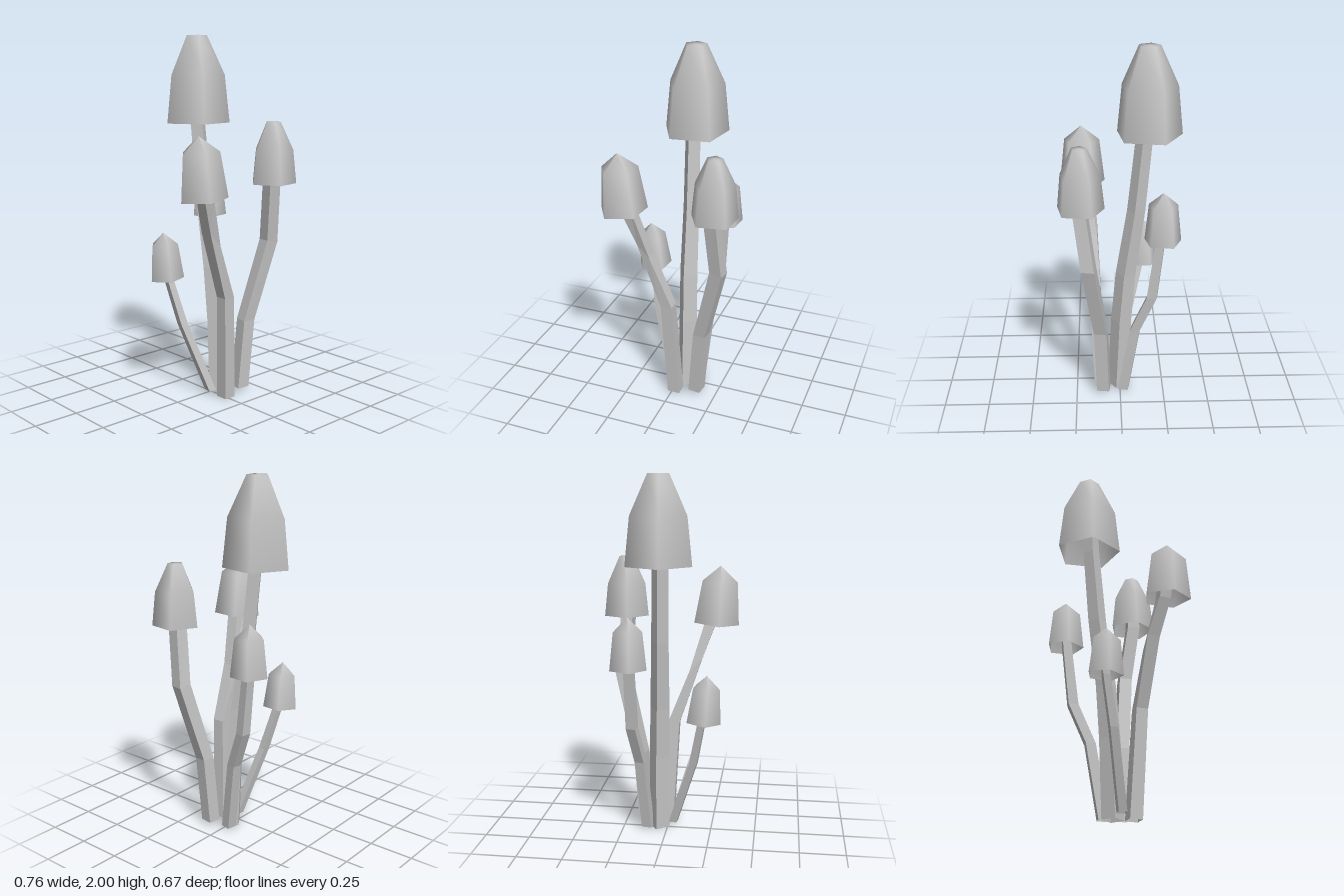
import * as THREE from 'three';

const grey = new THREE.MeshStandardMaterial({ color: 0xc4c4c4, side: THREE.DoubleSide });
grey.name = 'pale grey';
const greyFlat = new THREE.MeshStandardMaterial({ color: 0xc4c4c4, side: THREE.DoubleSide, flatShading: true });
greyFlat.name = 'pale grey';

// Cap profiles as [radius, height] fractions
const BLUNT = [[1, 0], [0.85, 0.55], [0.32, 1], [0, 1]];
const POINTED = [[1, 0], [0.78, 0.74], [0, 1]];

// Hollow five-sided bell
function makeCap({ profile, radius, height, at, turn, tilt = 0 }) {
  const points = profile.map(([r, h]) => new THREE.Vector2(r * radius, h * height));
  const cap = new THREE.Mesh(new THREE.LatheGeometry(points, 5, Math.PI + turn), grey);
  cap.position.set(...at);
  cap.rotation.z = tilt;
  cap.name = 'cap';
  return cap;
}

// Four-sided stem through rings of [x, y, z, radius, slope along x]
function makeStem(rings, turn) {
  const positions = [];
  const index = [];
  rings.forEach(([x, y, z, r, slope = 0], i) => {
    for (let k = 0; k < 4; k++) {
      const a = turn + k * Math.PI / 2;
      const dx = r * Math.sin(a);
      positions.push(x + dx, y + slope * dx, z + r * Math.cos(a));
      if (i === 0) continue;
      const n = (k + 1) % 4;
      const low = (i - 1) * 4;
      const high = i * 4;
      index.push(low + k, low + n, high + n, low + k, high + n, high + k);
    }
  });
  const geometry = new THREE.BufferGeometry();
  geometry.setAttribute('position', new THREE.Float32BufferAttribute(positions, 3));
  geometry.setIndex(index);
  const flat = geometry.toNonIndexed();
  flat.computeVertexNormals();
  const stem = new THREE.Mesh(flat, greyFlat);
  stem.name = 'stem';
  return stem;
}

const MUSHROOMS = [
  {
    name: 'tallMushroom',
    cap: { profile: BLUNT, radius: 0.185, height: 0.475, at: [0.028, 1.525, -0.152], turn: 0.14 },
    turn: -0.18,
    stem: [[0.048, 0, 0.011, 0.06], [0.045, 0.43, -0.008, 0.058], [0.038, 0.72, -0.033, 0.056],
      [0.03, 1.1, -0.09, 0.05], [0.022, 1.52, -0.132, 0.046], [0.022, 1.75, -0.145, 0.044]],
  },
  {
    name: 'frontLeftMushroom',
    cap: { profile: BLUNT, radius: 0.131, height: 0.335, at: [0.264, 1.2, 0.212], turn: 0.18 },
    turn: 0.64,
    stem: [[0.137, 0.025, 0.095, 0.05], [0.168, 0.42, 0.108, 0.05], [0.28, 0.87, 0.172, 0.05, -0.2],
      [0.255, 1.2, 0.214, 0.049], [0.255, 1.32, 0.214, 0.046]],
  },
  {
    name: 'frontRightMushroom',
    cap: { profile: POINTED, radius: 0.134, height: 0.325, at: [-0.247, 1.165, 0.209], turn: 0.22, tilt: 0.08 },
    turn: Math.PI / 4,
    stem: [[0.012, 0, 0.112, 0.05], [-0.02, 0.59, 0.14, 0.047], [-0.143, 0.93, 0.16, 0.05, -1],
      [-0.222, 1.17, 0.2, 0.046], [-0.245, 1.28, 0.207, 0.044]],
  },
  {
    name: 'backLeftMushroom',
    cap: { profile: POINTED, radius: 0.104, height: 0.28, at: [0.183, 0.98, -0.226], turn: 0.22 },
    turn: 0.6,
    stem: [[0.11, 0.01, -0.02, 0.04], [0.14, 0.42, -0.085, 0.038], [0.172, 0.64, -0.175, 0.038],
      [0.18, 0.98, -0.215, 0.034], [0.18, 1.08, -0.22, 0.032]],
  },
  {
    name: 'backRightMushroom',
    cap: { profile: POINTED, radius: 0.098, height: 0.26, at: [-0.211, 0.677, -0.134], turn: 0.22, tilt: 0.08 },
    turn: 0.66,
    stem: [[-0.03, 0.025, 0.03, 0.032], [-0.155, 0.42, -0.065, 0.03], [-0.205, 0.68, -0.125, 0.027],
      [-0.215, 0.77, -0.134, 0.025]],
  },
];

export function createModel() {
  const model = new THREE.Group();
  model.name = 'mushroomCluster';
  for (const { name, cap, stem, turn } of MUSHROOMS) {
    const mushroom = new THREE.Group();
    mushroom.name = name;
    mushroom.add(makeStem(stem, turn), makeCap(cap));
    model.add(mushroom);
  }
  return model;
}
